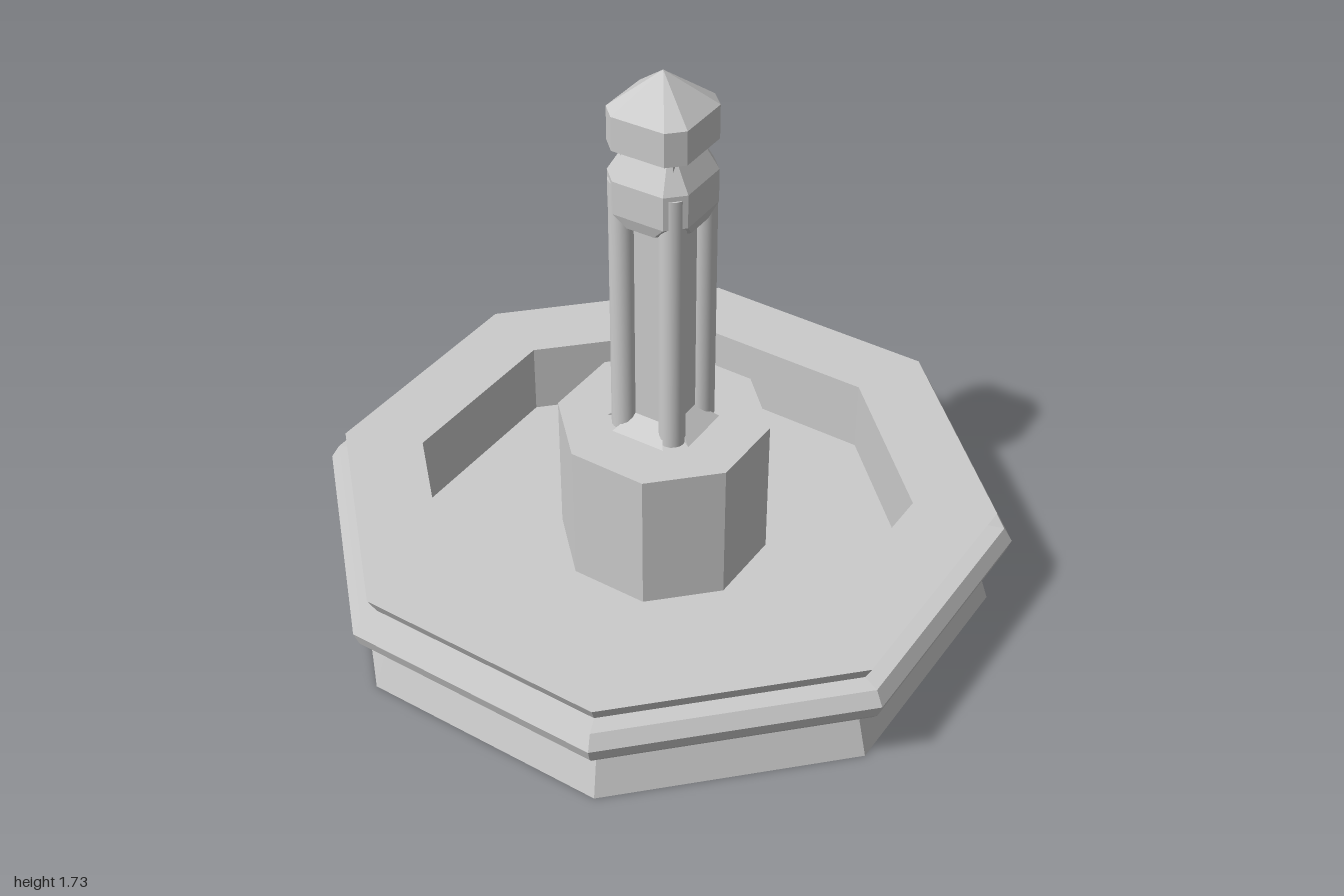
import * as THREE from 'three';
import { ConvexGeometry } from 'three/addons/geometries/ConvexGeometry.js';

const flat = new THREE.MeshStandardMaterial({ color: 0xcccccc, flatShading: true });
const smooth = new THREE.MeshStandardMaterial({ color: 0xcccccc });

function add(parent, name, geometry, material = flat) {
  const mesh = new THREE.Mesh(geometry, material);
  mesh.name = name;
  parent.add(mesh);
  return mesh;
}

// Eight-sided lathe; profile given as [half-width seen from the front, y]
function octagonLathe(profile) {
  const points = profile.map(([w, y]) => new THREE.Vector2(w / 0.935, y));
  return new THREE.LatheGeometry(points, 8, Math.PI / 8);
}

// Loft of chamfered squares: [y, distance to main face, half-width of main face]
function chamferedLoft(sections) {
  const positions = [];
  const indices = [];
  for (const [y, a, b] of sections) {
    const ring = [[-b, a], [b, a], [a, b], [a, -b], [b, -a], [-b, -a], [-a, -b], [-a, b]];
    for (const [x, z] of ring) positions.push(x, y, z);
  }
  for (let i = 0; i < sections.length - 1; i++) {
    for (let j = 0; j < 8; j++) {
      const p = i * 8 + j;
      const q = i * 8 + (j + 1) % 8;
      indices.push(p, q, p + 8, q, q + 8, p + 8);
    }
  }
  const geometry = new THREE.BufferGeometry();
  geometry.setAttribute('position', new THREE.Float32BufferAttribute(positions, 3));
  geometry.setIndex(indices);
  geometry.computeVertexNormals();
  return geometry;
}

export function createModel() {
  const model = new THREE.Group();
  model.name = 'fountain';

  // Basin: waisted plinth, moulded rim, lip and hollow centre
  const basin = new THREE.Group();
  basin.name = 'basin';
  basin.rotation.y = 0.03;
  model.add(basin);
  add(basin, 'basinShell', octagonLathe([
    [0, 0], [0.95, 0], [0.915, 0.12], [0.915, 0.175],
    [0.97, 0.175], [0.985, 0.195], [1, 0.24], [0.975, 0.285],
    [0.925, 0.29], [0.95, 0.34], [0.715, 0.34], [0.715, 0.1], [0, 0.1],
  ]));
  add(basin, 'pedestal', octagonLathe([[0.303, 0.1], [0.303, 0.562], [0, 0.562]]));

  const pillar = new THREE.Group();
  pillar.name = 'pillar';
  pillar.rotation.y = 0.05;
  model.add(pillar);

  // Recessed core between four round corner shafts
  add(pillar, 'core', new THREE.BoxGeometry(0.17, 0.96, 0.17)).position.y = 1.04;
  for (const sx of [-1, 1]) {
    for (const sz of [-1, 1]) {
      add(pillar, 'cornerShaft', new THREE.CylinderGeometry(0.04, 0.04, 0.85, 16), smooth)
        .position.set(sx * 0.083, 0.985, sz * 0.083);
    }
  }

  // Sloping wedge at the foot of each recess
  const wedge = new ConvexGeometry([-1, 1].flatMap((s) => [
    new THREE.Vector3(s * 0.045, 0.615, 0.08),
    new THREE.Vector3(s * 0.045, 0.56, 0.08),
    new THREE.Vector3(s * 0.09, 0.56, 0.145),
  ]));
  for (let i = 0; i < 4; i++) {
    add(pillar, 'footWedge', wedge).rotation.y = i * Math.PI / 2;
  }

  // Collar and pointed cap
  add(pillar, 'collar', chamferedLoft([
    [1.28, 0, 0], [1.28, 0.12, 0.045], [1.32, 0.132, 0.082],
    [1.425, 0.132, 0.082], [1.525, 0.075, 0.062],
  ]));
  add(pillar, 'cap', chamferedLoft([
    [1.52, 0, 0], [1.52, 0.13, 0.085], [1.625, 0.13, 0.085], [1.733, 0, 0],
  ]));

  return model;
}
